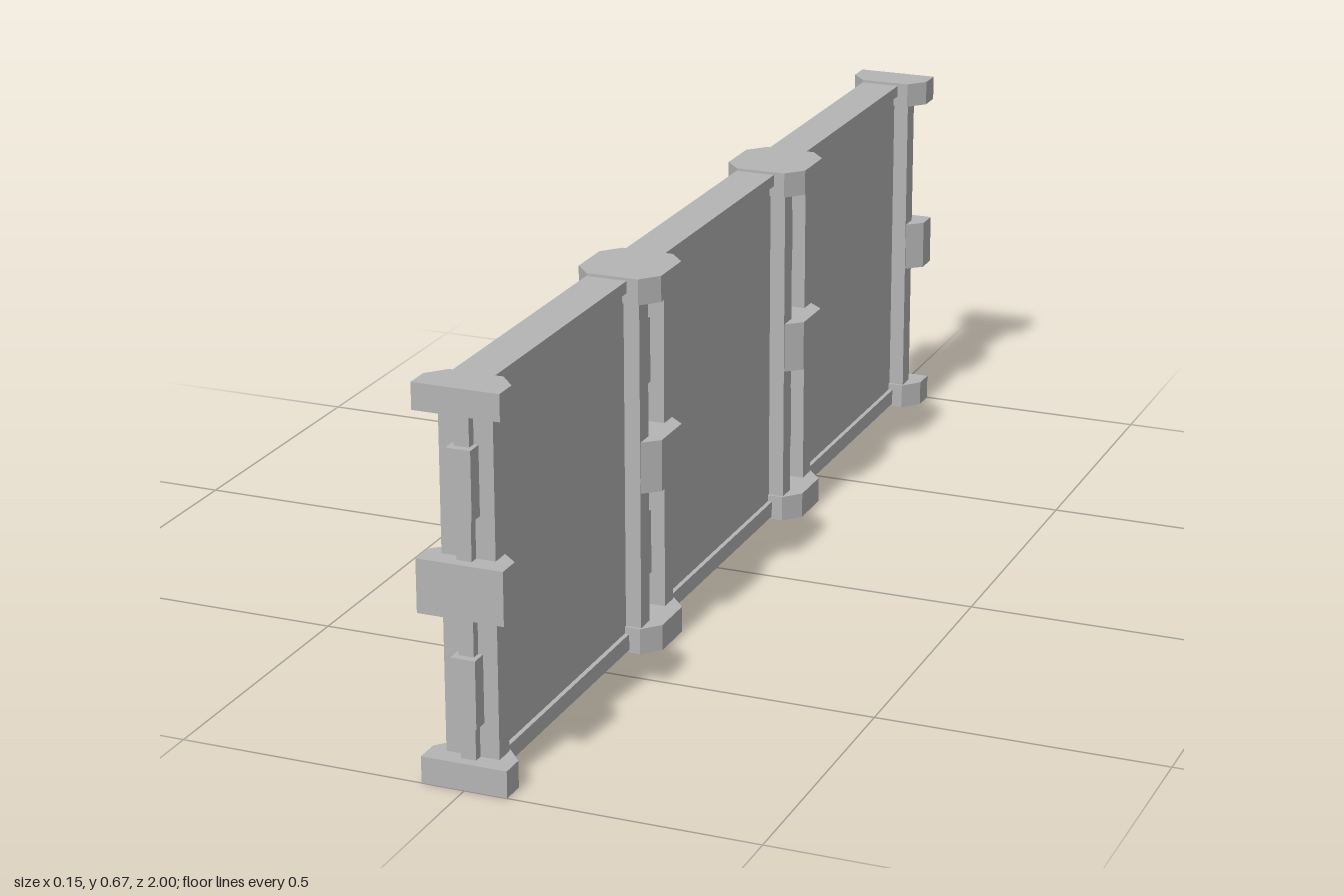
import * as THREE from 'three';

const grey = new THREE.MeshStandardMaterial({ color: 0xb4b4b4 });
grey.name = 'light grey';

const H = 0.667;        // overall height
const TILE = 2 / 3;     // length of one panel section

// box given by its limits on each axis
function block(parent, name, [x0, x1], [y0, y1], [z0, z1]) {
  const mesh = new THREE.Mesh(new THREE.BoxGeometry(x1 - x0, y1 - y0, z1 - z0), grey);
  mesh.position.set((x0 + x1) / 2, (y0 + y1) / 2, (z0 + z1) / 2);
  mesh.name = name;
  parent.add(mesh);
}

// clamp outline in plan: dir +1 or -1 makes a half, 0 the full octagon
function clamp(parent, name, y0, y1, z, dir, reach) {
  const w = 0.074, n = 0.046, f = 0.043;
  const half = [[w, 0], [w, f], [n, reach], [-n, reach], [-w, f], [-w, 0]];
  const full = [[w, -f], [w, f], [n, reach], [-n, reach],
    [-w, f], [-w, -f], [-n, -reach], [n, -reach]];
  const pts = dir === 0 ? full : half.map(([x, d]) => [x, d * dir]);
  const shape = new THREE.Shape(pts.map(([x, d]) => new THREE.Vector2(x, -d)));
  const geo = new THREE.ExtrudeGeometry(shape, { depth: y1 - y0, bevelEnabled: false });
  geo.rotateX(-Math.PI / 2);
  const mesh = new THREE.Mesh(geo, grey);
  mesh.position.set(0, y0, z);
  mesh.name = name;
  parent.add(mesh);
}

// upright with its connecting rib and two locking blocks, facing the tile end
function upright(parent, z, dir) {
  const span = (a, b) => [z - dir * a, z - dir * b].sort((p, q) => p - q);
  block(parent, 'post', [-0.046, 0.046], [0.006, 0.661], span(0.034, 0.07));
  block(parent, 'rib', [-0.013, 0.013], [0.02, 0.645], span(0.018, 0.035));
  for (const y of [0.105, 0.451])
    block(parent, 'lockingBlock', [-0.021, 0.021], [y, y + 0.116], span(0.005, 0.035));
}

export function createModel() {
  const model = new THREE.Group();
  model.name = 'panelWall';

  // three framed panels
  for (let i = -1; i <= 1; i++) {
    const section = new THREE.Group();
    section.name = 'wallSection';
    const z = i * TILE, e = TILE / 2, run = [z - e + 0.06, z + e - 0.06];
    block(section, 'panel', [0.013, 0.018], [0.02, 0.65], run);
    block(section, 'bottomFlange', [-0.046, 0.026], [0.005, 0.013], run);
    block(section, 'bottomLip', [0.006, 0.026], [0.012, 0.034], run);
    block(section, 'topFlange', [-0.046, 0.026], [0.654, 0.662], run);
    block(section, 'topLip', [0.006, 0.026], [0.641, 0.655], run);
    upright(section, z + e, 1);
    upright(section, z - e, -1);
    model.add(section);
  }

  // clamps: halves at the free ends, full octagons at the joints
  for (const [z, dir] of [[-1, 1], [-1 / 3, 0], [1 / 3, 0], [1, -1]]) {
    clamp(model, 'bottomClamp', 0, 0.046, z, dir, 0.075);
    clamp(model, 'middleClamp', 0.289, 0.38, z, dir, 0.068);
    clamp(model, 'topClamp', 0.622, H, z, dir, 0.075);
  }

  // reversed outlines of mirrored halves are re-wound by the extruder
  return model;
}
